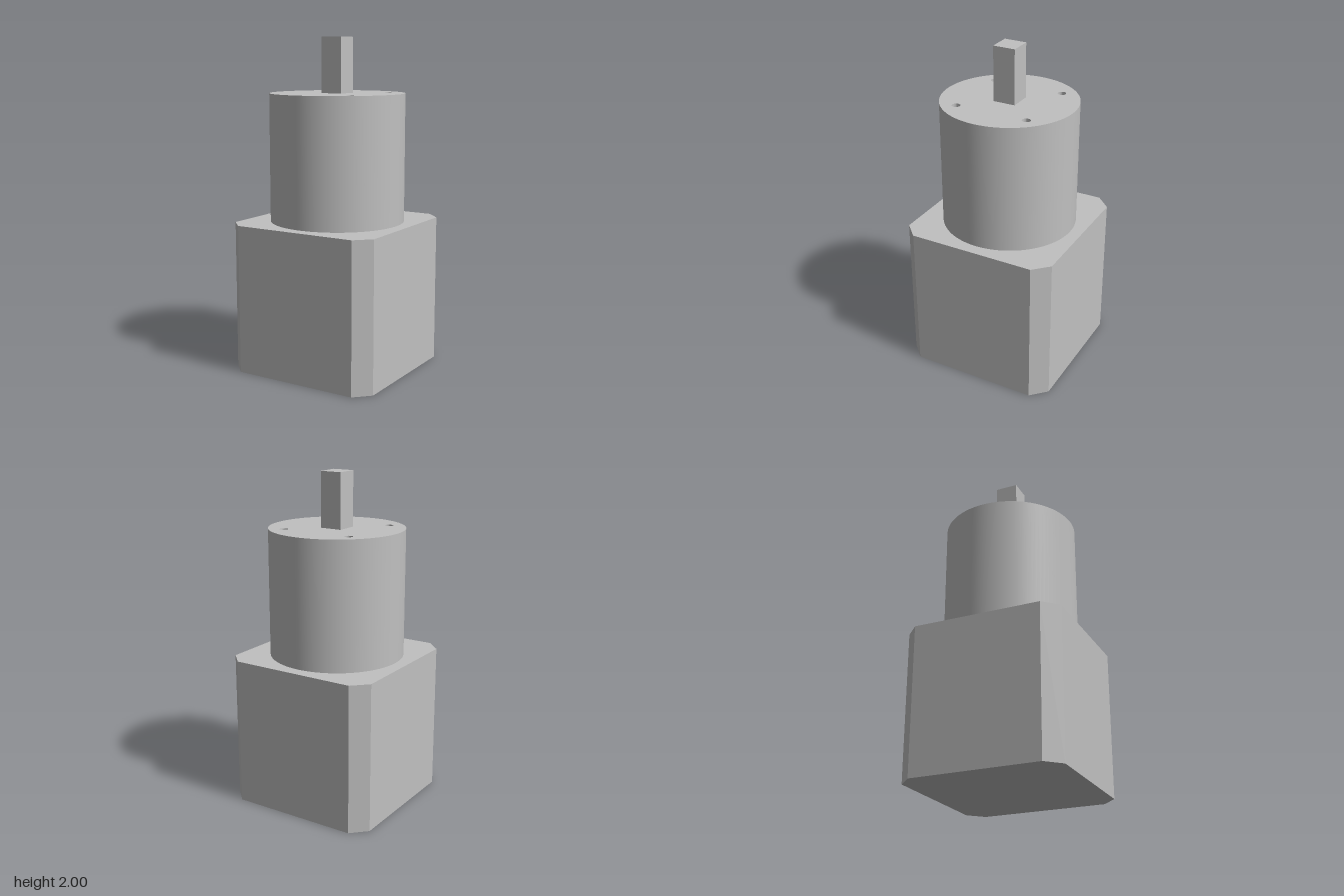
import * as THREE from 'three';
import { toCreasedNormals } from 'three/addons/utils/BufferGeometryUtils.js';

const BODY_TOP = 0.9, GEAR_TOP = 1.67, SHAFT_TOP = 2;
const HALF = 0.48, CUT = 0.09, GEAR_R = 0.406;
const HOLE_R = 0.025, HOLE_POS = 0.224, HOLE_DEPTH = 0.2;

export function createModel() {
  const group = new THREE.Group();
  const metal = new THREE.MeshStandardMaterial({ color: 0xc0c0c0 });
  metal.name = 'grey metal';

  const add = (name, geometry, x = 0, y = 0, z = 0, parent = group) => {
    const mesh = new THREE.Mesh(geometry, metal);
    mesh.name = name;
    mesh.position.set(x, y, z);
    parent.add(mesh);
    return mesh;
  };

  // Square motor body with chamfered upright edges
  const c = HALF - CUT;
  const outline = new THREE.Shape([
    [c, -HALF], [HALF, -c], [HALF, c], [c, HALF],
    [-c, HALF], [-HALF, c], [-HALF, -c], [-c, -HALF],
  ].map(([x, y]) => new THREE.Vector2(x, y)));
  const body = new THREE.ExtrudeGeometry(outline, { depth: BODY_TOP, bevelEnabled: false });
  add('motorBody', body.rotateX(-Math.PI / 2));

  // Round gearbox housing: smooth wall plus a drilled end face
  const gearbox = new THREE.Group();
  gearbox.name = 'gearbox';
  group.add(gearbox);
  const height = GEAR_TOP - BODY_TOP;
  add('gearboxWall', new THREE.CylinderGeometry(GEAR_R, GEAR_R, height, 96, 1, true),
    0, BODY_TOP + height / 2, 0, gearbox);

  const face = new THREE.Shape().absarc(0, 0, GEAR_R, 0, Math.PI * 2);
  // Blind hole: wall facing inward, floor facing up
  const pit = toCreasedNormals(new THREE.LatheGeometry([
    new THREE.Vector2(HOLE_R, 0),
    new THREE.Vector2(HOLE_R, -HOLE_DEPTH),
    new THREE.Vector2(0, -HOLE_DEPTH),
  ], 32), 0.6);
  for (const sx of [-1, 1]) {
    for (const sz of [-1, 1]) {
      const x = sx * HOLE_POS, z = sz * HOLE_POS;
      face.holes.push(new THREE.Path().absarc(x, -z, HOLE_R, 0, Math.PI * 2, true));
      add('mountingHole', pit, x, GEAR_TOP, z, gearbox);
    }
  }
  add('gearboxFace', new THREE.ShapeGeometry(face, 48).rotateX(-Math.PI / 2),
    0, GEAR_TOP, 0, gearbox);

  // Square output shaft
  const shaftH = SHAFT_TOP - GEAR_TOP;
  add('outputShaft', new THREE.BoxGeometry(0.136, shaftH, 0.136), 0, GEAR_TOP + shaftH / 2, 0);

  return group;
}
